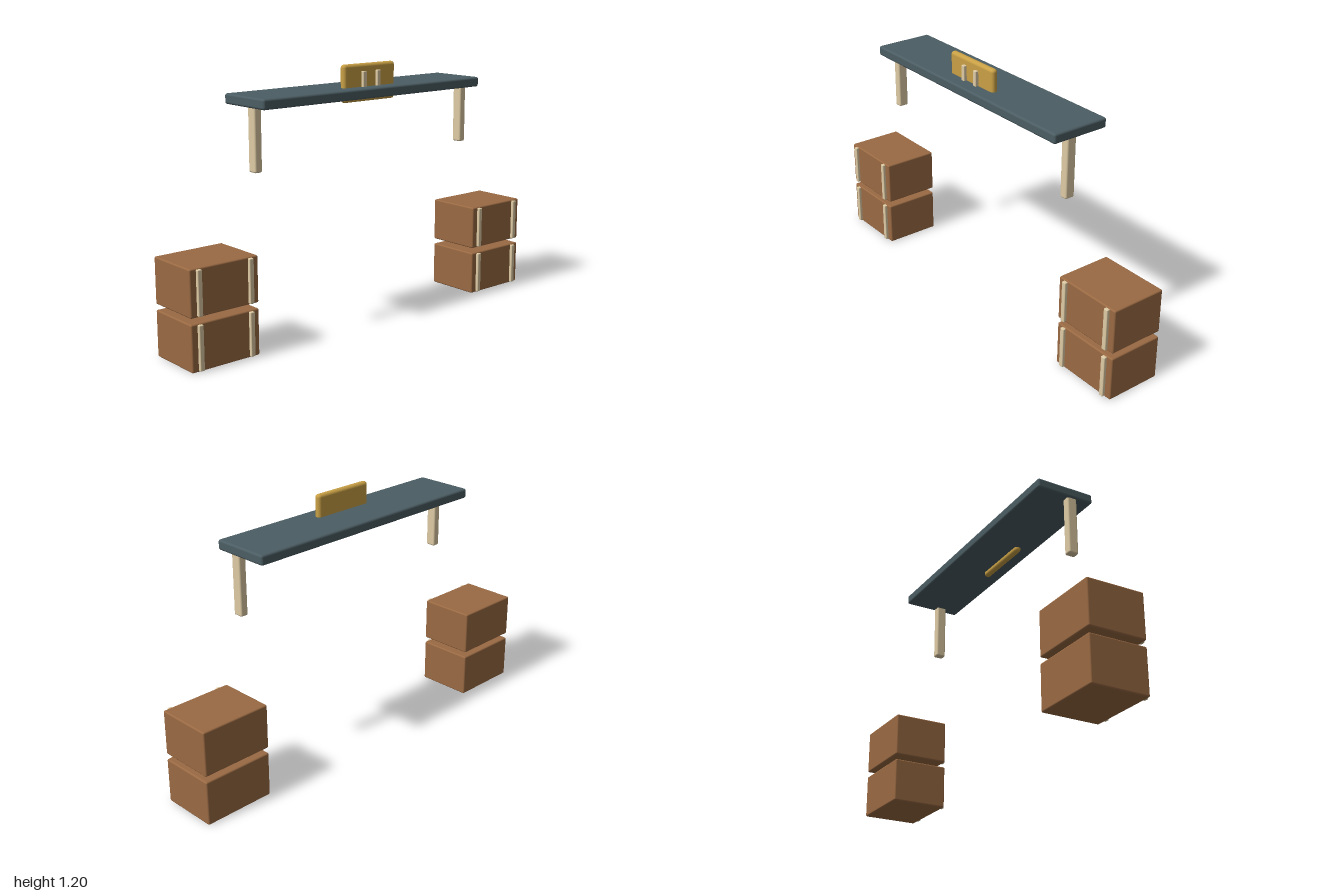
import * as THREE from 'three';
import { RoundedBoxGeometry } from 'three/addons/geometries/RoundedBoxGeometry.js';

const material = (color) => new THREE.MeshStandardMaterial({ color });

export function createModel() {
  const model = new THREE.Group();
  const slate = material(0x4b5d63);
  const wood = material(0x9a6a43);
  const cream = material(0xdecba4);
  const gold = material(0xc9a045);

  // Rounded block given by its [min, max] extent on each axis
  function block(name, mat, [x0, x1], [y0, y1], [z0, z1], radius, parent = model) {
    const geometry = new RoundedBoxGeometry(x1 - x0, y1 - y0, z1 - z0, 3, radius);
    const mesh = new THREE.Mesh(geometry, mat);
    mesh.name = name;
    mesh.position.set((x0 + x1) / 2, (y0 + y1) / 2, (z0 + z1) / 2);
    parent.add(mesh);
    return mesh;
  }
  const around = (centre, width) => [centre - width / 2, centre + width / 2];

  // Table top and its two legs
  block('tableTop', slate, [-0.642, 0.642], [1.054, 1.1], [-0.128, 0.152], 0.01);
  for (const side of [-1, 1]) {
    block('leg', cream, around(side * 0.615, 0.038), [0.78, 1.07], [0.027, 0.075], 0.008);
  }

  // Upright plate set through the table top, with two pegs on its front
  block('plate', gold, [-0.153, 0.153], [1.033, 1.203], [0.052, 0.084], 0.0145);
  for (const side of [-1, 1]) {
    block('peg', cream, around(side * 0.042, 0.021), [1.065, 1.17], [0.076, 0.099], 0.003);
  }

  // Two stacked crates on each side, each with two front straps
  for (const side of [-1, 1]) {
    for (const y of [0, 0.234]) {
      const crate = new THREE.Group();
      crate.name = 'crate';
      crate.position.set(side * 0.83, y, 0);
      block('crateBody', wood, [-0.17, 0.17], [0, 0.208], [-0.152, 0.118], 0.007, crate);
      for (const strapSide of [-1, 1]) {
        block('strap', cream, around(strapSide * 0.128, 0.022), [0.005, 0.203], [0.105, 0.132], 0.004, crate);
      }
      model.add(crate);
    }
  }
  return model;
}
